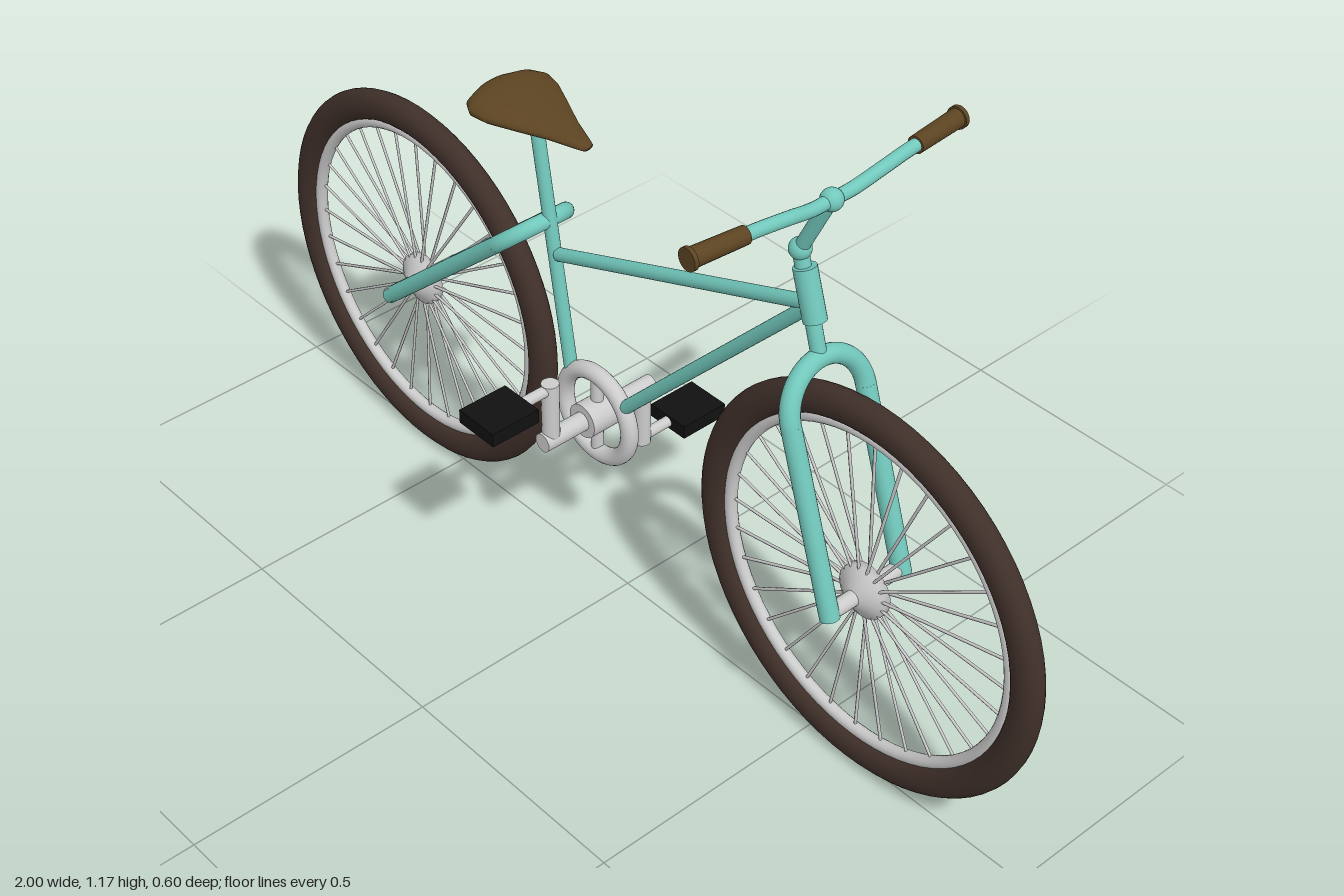
import * as THREE from 'three';
import { mergeGeometries } from 'three/addons/utils/BufferGeometryUtils.js';

const V = (x, y, z = 0) => new THREE.Vector3(x, y, z);
const mat = (color, extra = {}) => new THREE.MeshStandardMaterial({ color, ...extra });

export function createModel() {
  const teal = mat(0x72c8bc), grey = mat(0xcccccc), rubber = mat(0x40302a);
  const leather = mat(0x5c4422), black = mat(0x111111);
  const bike = new THREE.Group();
  bike.name = 'bicycle';

  const add = (parent, name, geometry, material, pos = V(0, 0)) => {
    const mesh = new THREE.Mesh(geometry, material);
    mesh.name = name;
    mesh.position.copy(pos);
    parent.add(mesh);
    return mesh;
  };

  // Closed round bar between two points
  const barGeometry = (a, b, r0, r1 = r0, sides = 20) => {
    const dir = b.clone().sub(a);
    const g = new THREE.CylinderGeometry(r1, r0, dir.length(), sides);
    g.applyQuaternion(new THREE.Quaternion().setFromUnitVectors(V(0, 1), dir.normalize()));
    const mid = a.clone().add(b).multiplyScalar(0.5);
    return g.translate(mid.x, mid.y, mid.z);
  };
  const bar = (name, a, b, r, material = teal, r1 = r) => add(bike, name, barGeometry(a, b, r, r1), material);
  const ball = (name, p, r) => add(bike, name, new THREE.SphereGeometry(r, 24, 16), teal, p);

  // Wheels: tyre, rim, tapered hub, axle and spokes
  const axleY = 0.397;
  const makeWheel = (name, x) => {
    const wheel = new THREE.Group();
    wheel.name = name;
    wheel.position.set(x, axleY, 0);
    add(wheel, 'tyre', new THREE.TorusGeometry(0.365, 0.031, 20, 72), rubber).scale.z = 0.82;
    add(wheel, 'rim', new THREE.TorusGeometry(0.329, 0.012, 12, 72), grey);
    const profile = [[0, -0.03], [0.016, -0.03], [0.053, -0.008], [0.053, 0.008], [0.016, 0.03], [0, 0.03]];
    add(wheel, 'hub', new THREE.LatheGeometry(profile.map(p => new THREE.Vector2(...p)), 32).rotateX(Math.PI / 2), grey);
    add(wheel, 'axle', barGeometry(V(0, 0, -0.085), V(0, 0, 0.085), 0.015), grey);
    const spokes = [];
    for (let i = 0; i < 32; i++) {
      const a = (i / 32) * Math.PI * 2, c = Math.cos(a), s = Math.sin(a);
      const side = i % 2 ? 0.008 : -0.008;
      spokes.push(barGeometry(V(c * 0.045, s * 0.045, side), V(c * 0.325, s * 0.325), 0.003, 0.003, 6));
    }
    add(wheel, 'spokes', mergeGeometries(spokes), grey);
    bike.add(wheel);
  };
  makeWheel('rearWheel', -0.604);
  makeWheel('frontWheel', 0.604);

  // U-shaped fork: two legs joined by a half ring at the apex
  const makeFork = (name, foot, apex, halfWidth, r) => {
    const dir = apex.clone().sub(foot), len = dir.length() - halfWidth;
    dir.normalize();
    const fork = new THREE.Group();
    fork.name = name;
    const across = V(0, 0, 1);
    fork.applyMatrix4(new THREE.Matrix4().makeBasis(across, dir, across.clone().cross(dir)).setPosition(foot));
    for (const s of [-1, 1]) add(fork, 'leg', barGeometry(V(s * halfWidth, 0), V(s * halfWidth, len), r), teal);
    add(fork, 'arch', new THREE.TorusGeometry(halfWidth, r, 18, 32, Math.PI), teal, V(0, len));
    bike.add(fork);
  };
  makeFork('frontFork', V(0.608, 0.388), V(0.47, 0.818), 0.087, 0.018);
  makeFork('rearFork', V(-0.612, 0.388), V(-0.215, 0.738), 0.075, 0.016);

  // Frame tubes
  bar('seatTube', V(-0.157, 0.43), V(-0.245, 0.945), 0.013);
  bar('topTube', V(-0.187, 0.675), V(0.445, 0.915), 0.013);
  bar('downTube', V(-0.005, 0.43), V(0.445, 0.91), 0.013);

  // Steering column and stem
  bar('steerer', V(0.47, 0.818), V(0.415, 1.005), 0.014);
  bar('headTube', V(0.456, 0.885), V(0.427, 0.978), 0.021);
  ball('stemJoint', V(0.415, 1.007), 0.02);
  bar('stem', V(0.415, 1.007), V(0.477, 1.133), 0.013);
  ball('barClamp', V(0.478, 1.133), 0.02);

  // Handlebar, one bent tube with a grip at each end
  const half = [[0.477, 1.153, 0.24], [0.479, 1.153, 0.18], [0.483, 1.146, 0.1], [0.48, 1.135, 0.045]];
  const path = [
    ...half.map(([x, y, z]) => V(x, y, -z)), V(0.478, 1.133), ...half.slice().reverse().map(p => V(...p)),
  ];
  add(bike, 'handlebar', new THREE.TubeGeometry(new THREE.CatmullRomCurve3(path), 64, 0.012, 16), teal);
  for (const s of [-1, 1]) {
    bar('grip', V(0.478, 1.153, s * 0.187), V(0.469, 1.155, s * 0.298), 0.016, leather, 0.0175);
    bar('gripEnd', V(0.4695, 1.155, s * 0.292), V(0.469, 1.155, s * 0.3), 0.0205, leather);
  }

  // Saddle: oval sections lofted from tail to nose [x, half width, middle y, half height]
  const sections = [
    [-0.359, 0.004, 0.957, 0.003], [-0.355, 0.045, 0.957, 0.015], [-0.34, 0.078, 0.956, 0.023],
    [-0.315, 0.092, 0.955, 0.026], [-0.28, 0.086, 0.953, 0.024], [-0.23, 0.064, 0.951, 0.019],
    [-0.17, 0.036, 0.949, 0.014], [-0.12, 0.018, 0.947, 0.01], [-0.104, 0.012, 0.946, 0.007],
    [-0.1, 0.001, 0.946, 0.001],
  ];
  const sides = 28, verts = [], faces = [];
  sections.forEach(([x, w, y, h], i) => {
    for (let j = 0; j < sides; j++) {
      const a = (j / sides) * Math.PI * 2;
      verts.push(x, y + Math.sin(a) * h, Math.cos(a) * w);
      if (i === sections.length - 1) continue;
      const p = i * sides + j, q = i * sides + ((j + 1) % sides);
      faces.push(p, p + sides, q, q, p + sides, q + sides);
    }
  });
  const saddle = new THREE.BufferGeometry();
  saddle.setAttribute('position', new THREE.Float32BufferAttribute(verts, 3));
  saddle.setIndex(faces);
  saddle.computeVertexNormals();
  add(bike, 'saddle', saddle, mat(0x5c4422, { side: THREE.DoubleSide }));

  // Chainring, crank axle, crank arms and pedals
  const cx = -0.085, cy = 0.369;
  add(bike, 'chainring', new THREE.TorusGeometry(0.09, 0.017, 18, 48), grey, V(cx, cy));
  bar('chainringSpoke', V(cx, cy - 0.09), V(cx, cy + 0.09), 0.012, grey);
  bar('bottomBracket', V(cx, cy, -0.037), V(cx, cy, 0.037), 0.035, grey);
  bar('crankAxle', V(cx, cy, -0.133), V(cx, cy, 0.133), 0.019, grey);
  for (const s of [-1, 1]) {
    const py = cy + s * 0.116;
    bar('crankArm', V(cx, cy, s * 0.112), V(cx, py + s * 0.012, s * 0.112), 0.017, grey);
    bar('pedalAxle', V(cx, py, s * 0.112), V(cx, py, s * 0.19), 0.011, grey);
    add(bike, 'pedal', new THREE.BoxGeometry(0.094, 0.029, 0.106), black, V(cx, py, s * 0.231));
  }
  return bike;
}
